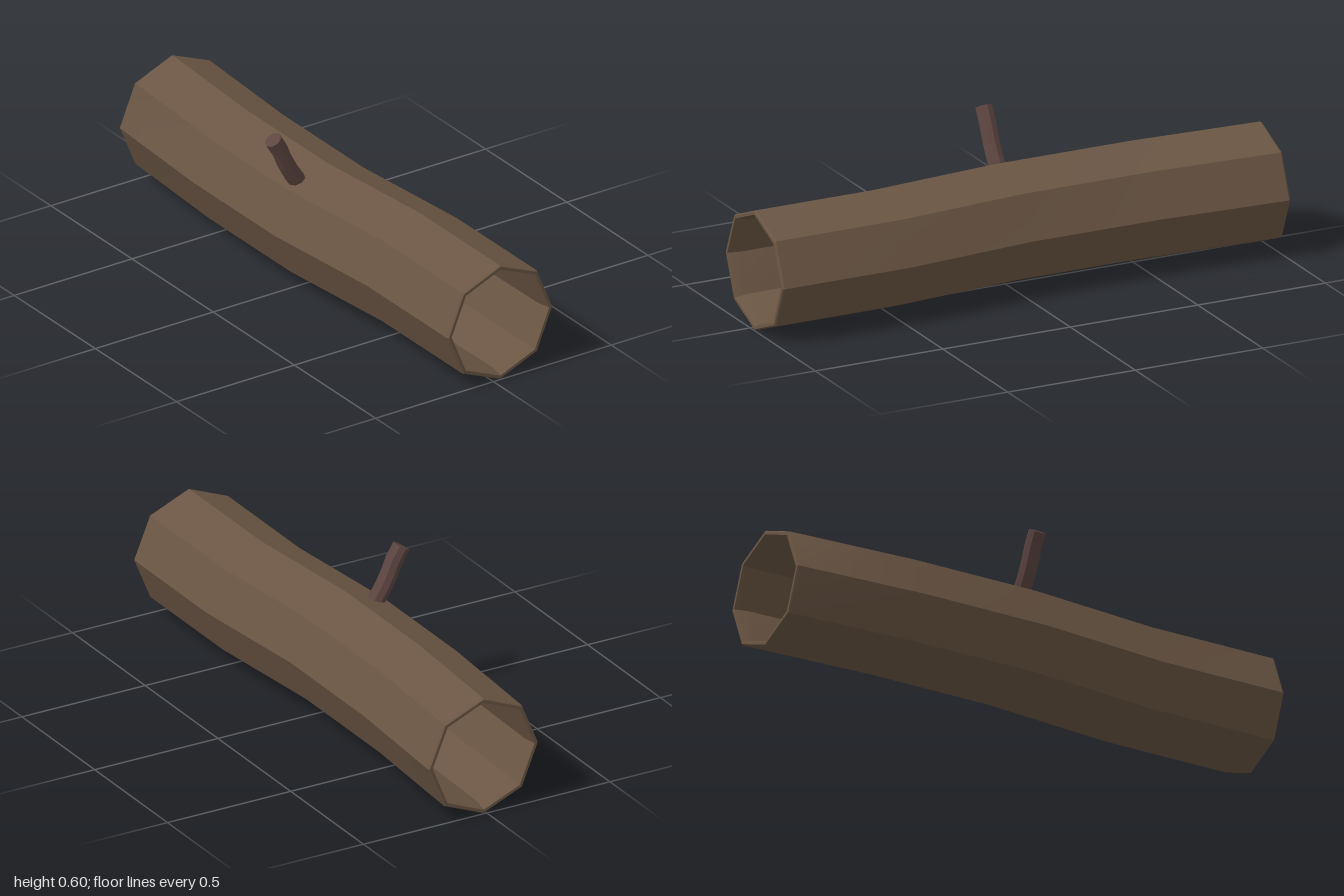
import * as THREE from 'three';
import { toCreasedNormals } from 'three/addons/utils/BufferGeometryUtils.js';

const SIDES = 8;
const Z = new THREE.Vector3(0, 0, 1);

// Skin a series of octagonal rings { c: centre, r: radius, u, v: ring axes }
function loft(rings) {
  const pos = [], index = [];
  rings.forEach(({ c, r, u, v }, i) => {
    for (let j = 0; j < SIDES; j++) {
      const a = (j / SIDES) * Math.PI * 2;
      const p = c.clone().addScaledVector(u, r * Math.cos(a)).addScaledVector(v, r * Math.sin(a));
      pos.push(p.x, p.y, p.z);
      if (i === 0) continue;
      const k = (j + 1) % SIDES, lo = (i - 1) * SIDES, hi = i * SIDES;
      index.push(lo + j, hi + j, hi + k, lo + j, hi + k, lo + k);
    }
  });
  const g = new THREE.BufferGeometry();
  g.setAttribute('position', new THREE.Float32BufferAttribute(pos, 3));
  g.setIndex(index);
  return toCreasedNormals(g, 0.5);
}

function part(name, geometry, color) {
  const mesh = new THREE.Mesh(geometry, new THREE.MeshStandardMaterial({ color }));
  mesh.name = name;
  return mesh;
}

export function createModel() {
  const group = new THREE.Group();
  group.name = 'hollowLog';

  // Log: outer bark front to back, then the bore back to front, joined by rims
  const R = 0.2225, BORE = 0.195, RIM = 0.207;
  const profile = [ // z, centre x, radius
    [1, 0.03, R - 0.004], [0.994, 0.03, R], [0.5, 0.03, R], [0, -0.016, R],
    [-0.5, -0.016, R], [-0.994, 0.012, R], [-1, 0.012, R - 0.004],
    [-1, 0.012, RIM], [-0.95, 0.01, BORE], [-0.5, 0, BORE], [0, 0, BORE],
    [0.5, 0.025, BORE], [0.95, 0.03, BORE], [1, 0.03, RIM], [1, 0.03, R - 0.004],
  ];
  const X = new THREE.Vector3(1, 0, 0), Y = new THREE.Vector3(0, 1, 0);
  group.add(part('log', loft(profile.map(([z, x, r]) => (
    { c: new THREE.Vector3(x, R, z), r, u: X, v: Y }))), 0x6b5644));

  // Branch: bent twig rising from the upper side, capped at both ends
  const path = [[-0.117, 0.387], [-0.15, 0.437], [-0.177, 0.487], [-0.197, 0.535], [-0.226, 0.582]]
    .map(([x, y]) => new THREE.Vector3(x, y, -0.03));
  const twig = path.map((c, i) => {
    const t = path[Math.min(i + 1, path.length - 1)].clone().sub(path[Math.max(i - 1, 0)]).normalize();
    return { c, r: 0.032, u: new THREE.Vector3(t.y, -t.x, 0), v: Z };
  });
  const tip = twig[twig.length - 1];
  group.add(part('branch', loft([{ ...twig[0], r: 0 }, ...twig, { ...tip, r: 0 }]), 0x5d4540));

  return group;
}
